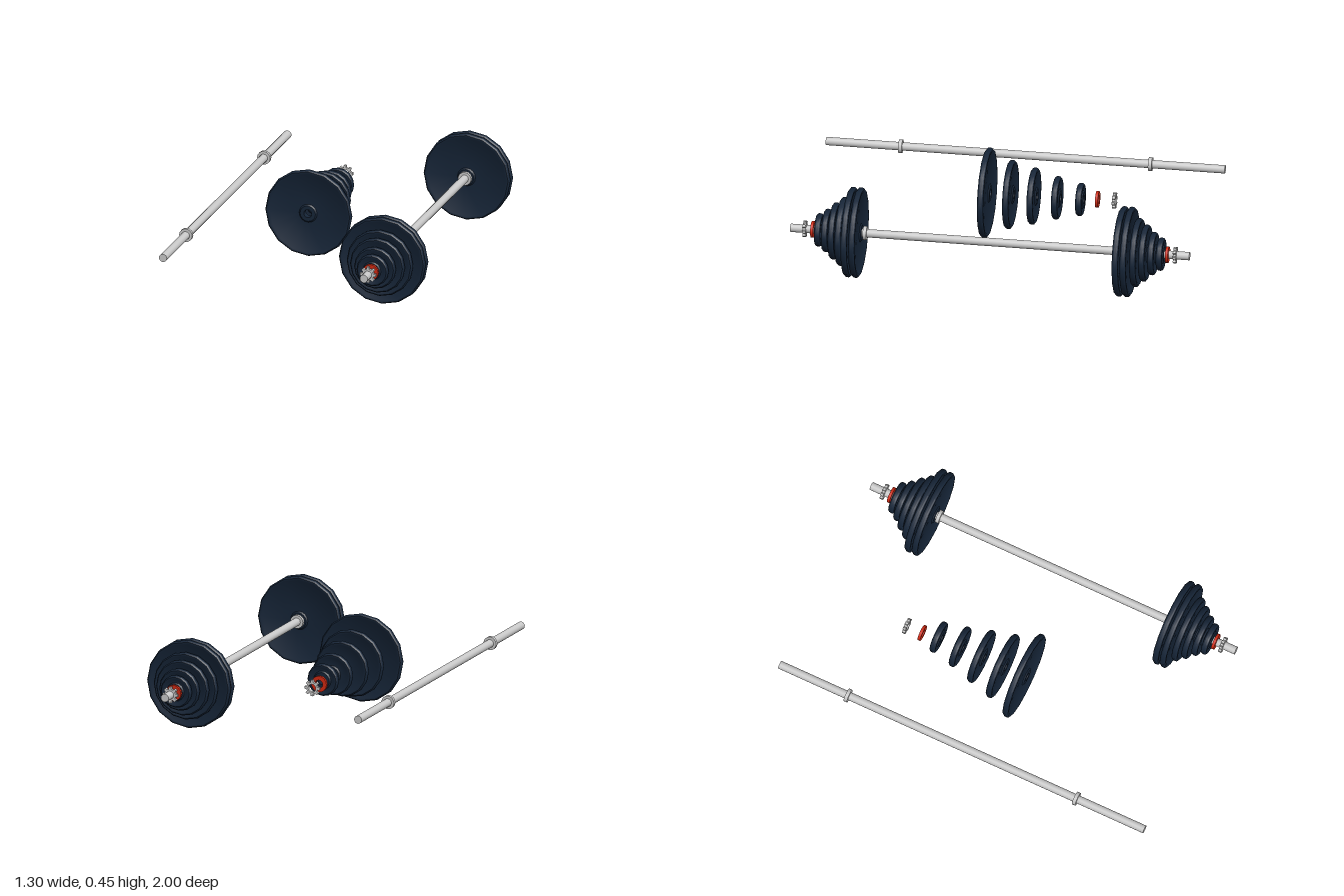
import * as THREE from 'three';
import { toCreasedNormals } from 'three/addons/utils/BufferGeometryUtils.js';

const AXIS_Y = 0.225; // height of every bar and plate axis
const HOLE = 0.0205;
const SIDES = 16;

const steel = new THREE.MeshStandardMaterial({ color: 0xcccccc });
const navy = new THREE.MeshStandardMaterial({ color: 0x162538 });
const red = new THREE.MeshStandardMaterial({ color: 0xd42a12 });

// Turned part around the z axis from a closed [radius, depth] profile
function turned(profile) {
  const points = [...profile, profile[0]].map(([r, d]) => new THREE.Vector2(r, d));
  const geometry = new THREE.LatheGeometry(points, SIDES).rotateX(Math.PI / 2);
  return toCreasedNormals(geometry, 0.6);
}

// Weight plate: raised hub, thin web and rounded rim
function plateGeometry(radius) {
  const half = [
    [HOLE, 0.0175], [0.04, 0.0175], [0.044, 0.014], [0.047, 0.011],
    [radius - 0.024, 0.011], [radius - 0.018, 0.015],
    [radius - 0.007, 0.015], [radius - 0.002, 0.011], [radius, 0.005],
  ];
  const back = half.map(([r, d]) => [r, -d]);
  return turned([...back, ...half.slice().reverse()]);
}

// Plain ring with a square section
function ringGeometry(inner, outer, thickness) {
  const h = thickness / 2;
  return turned([[inner, -h], [outer, -h], [outer, h], [inner, h]]);
}

// Locking nut with eight grip teeth
function nutGeometry() {
  const teeth = 8, depth = 0.016;
  const points = [];
  for (let i = 0; i < teeth; i++) {
    const corners = [[-0.3, 0.03], [-0.2, 0.041], [0.2, 0.041], [0.3, 0.03]];
    for (const [offset, r] of corners) {
      const a = ((i + offset) / teeth) * Math.PI * 2;
      points.push(new THREE.Vector2(r * Math.cos(a), r * Math.sin(a)));
    }
  }
  const shape = new THREE.Shape(points);
  shape.holes.push(new THREE.Path().absarc(0, 0, HOLE, 0, Math.PI * 2, true));
  return new THREE.ExtrudeGeometry(shape, { depth, bevelEnabled: false, curveSegments: 8 })
    .translate(0, 0, -depth / 2);
}

const radii = [0.224, 0.171, 0.141, 0.107, 0.082];
const plates = radii.map(plateGeometry);
const washer = ringGeometry(HOLE, 0.041, 0.014);
const nut = nutGeometry();
const collar = ringGeometry(0.015, 0.034, 0.018);
const shaft = new THREE.CylinderGeometry(0.0205, 0.0205, 2, SIDES).rotateX(Math.PI / 2);

function add(group, name, geometry, material, x, z) {
  const mesh = new THREE.Mesh(geometry, material);
  mesh.name = name;
  mesh.position.set(x, 0, z);
  group.add(mesh);
}

// Shaft with two fixed collars
function makeBar(name, x) {
  const bar = new THREE.Group();
  bar.name = name;
  bar.position.set(x, AXIS_Y, 0);
  add(bar, 'shaft', shaft, steel, 0, 0);
  for (const side of [1, -1]) add(bar, 'collar', collar, steel, 0, side * 0.626);
  return bar;
}

export function createModel() {
  const model = new THREE.Group();
  model.name = 'barbellSet';

  // Empty bar
  model.add(makeBar('emptyBar', -0.617));

  // Loaded bar: two large plates, then shrinking plates, washer and nut
  const loaded = makeBar('loadedBar', 0.426);
  for (const side of [1, -1]) {
    [0, 0, 1, 2, 3, 4].forEach((size, i) =>
      add(loaded, 'plate', plates[size], navy, 0, side * (0.66 + i * 0.0393)));
    add(loaded, 'washer', washer, red, 0, side * 0.889);
    add(loaded, 'lockingNut', nut, steel, 0, side * 0.928);
  }
  model.add(loaded);

  // Loose row of one of each part
  const loose = new THREE.Group();
  loose.name = 'looseParts';
  loose.position.set(-0.146, AXIS_Y, 0);
  plates.forEach((plate, i) => add(loose, 'plate', plate, navy, 0, 0.113 - i * 0.117));
  add(loose, 'washer', washer, red, -0.016, -0.438);
  add(loose, 'lockingNut', nut, steel, -0.016, -0.523);
  model.add(loose);

  return model;
}
